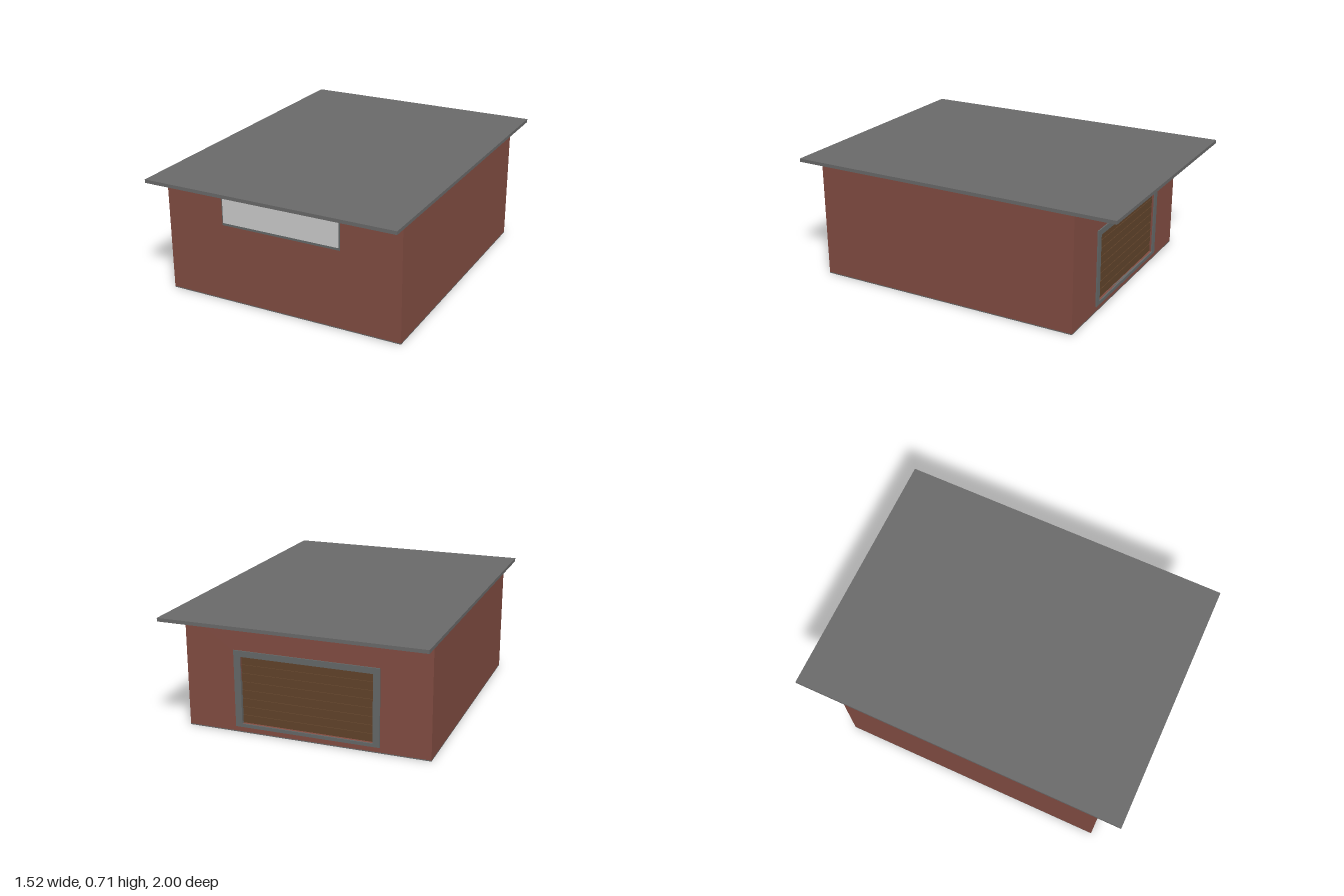
import * as THREE from 'three';

const mat = (name, color) => {
  const m = new THREE.MeshStandardMaterial({ color });
  m.name = name;
  return m;
};

export function createModel() {
  const model = new THREE.Group();
  const brick = mat('brick red', 0x844e43);
  const grey = mat('roof grey', 0x6b6b6b);
  const trim = mat('trim grey', 0x666a6a);
  const glass = mat('pale glass', 0xd0d0d0);
  const wood = mat('brown wood', 0x62442b);

  const add = (name, geometry, material, parent = model) => {
    const mesh = new THREE.Mesh(geometry, material);
    mesh.name = name;
    parent.add(mesh);
    return mesh;
  };
  // Box given by its lower and upper corners
  const box = (name, [x0, y0, z0], [x1, y1, z1], material, parent) =>
    add(name, new THREE.BoxGeometry(x1 - x0, y1 - y0, z1 - z0), material, parent)
      .position.set((x0 + x1) / 2, (y0 + y1) / 2, (z0 + z1) / 2);
  const rect = (Type, x0, y0, x1, y1) => new Type([
    new THREE.Vector2(x0, y0), new THREE.Vector2(x1, y0),
    new THREE.Vector2(x1, y1), new THREE.Vector2(x0, y1),
  ]);
  // Flat rectangle with a rectangular opening, from z0 to z1
  const ring = (name, outer, inner, z0, z1, material, parent) => {
    const shape = rect(THREE.Shape, ...outer);
    shape.holes.push(rect(THREE.Path, ...inner));
    const g = new THREE.ExtrudeGeometry(shape, { depth: z1 - z0, bevelEnabled: false });
    g.translate(0, 0, z0);
    add(name, g, material, parent);
  };

  // Floor, walls and overhanging flat roof
  box('floor', [-0.715, 0, -0.755], [0.73, 0.006, 0.86], grey);
  box('walls', [-0.715, 0.006, -0.735], [0.73, 0.69, 0.86], brick);
  const door = [-0.385, 0.055, 0.395, 0.455];
  ring('backWall', [-0.715, 0.006, 0.73, 0.69], door, -0.755, -0.735, brick);
  box('roof', [-0.76, 0.69, -1], [0.76, 0.71, 1], grey);

  // Wide front window
  const win = new THREE.Group();
  win.name = 'window';
  model.add(win);
  box('windowFrame', [-0.357, 0.465, 0.855], [0.372, 0.637, 0.863], trim, win);
  box('windowPane', [-0.35, 0.48, 0.86], [0.365, 0.63, 0.866], glass, win);

  // Back door: frame around a recessed slatted panel
  const gate = new THREE.Group();
  gate.name = 'backDoor';
  model.add(gate);
  ring('doorFrame', [-0.425, 0.035, 0.435, 0.49], door, -0.762, -0.735, trim, gate);
  box('doorPanel', [-0.385, 0.055, -0.738], [0.395, 0.455, -0.732], wood, gate);
  const slats = 8, pitch = 0.4 / slats;
  for (let i = 0; i < slats; i++) {
    const y = 0.055 + i * pitch;
    box('doorSlat', [-0.385, y + 0.002, -0.744], [0.395, y + pitch - 0.002, -0.737], wood, gate);
  }
  return model;
}
